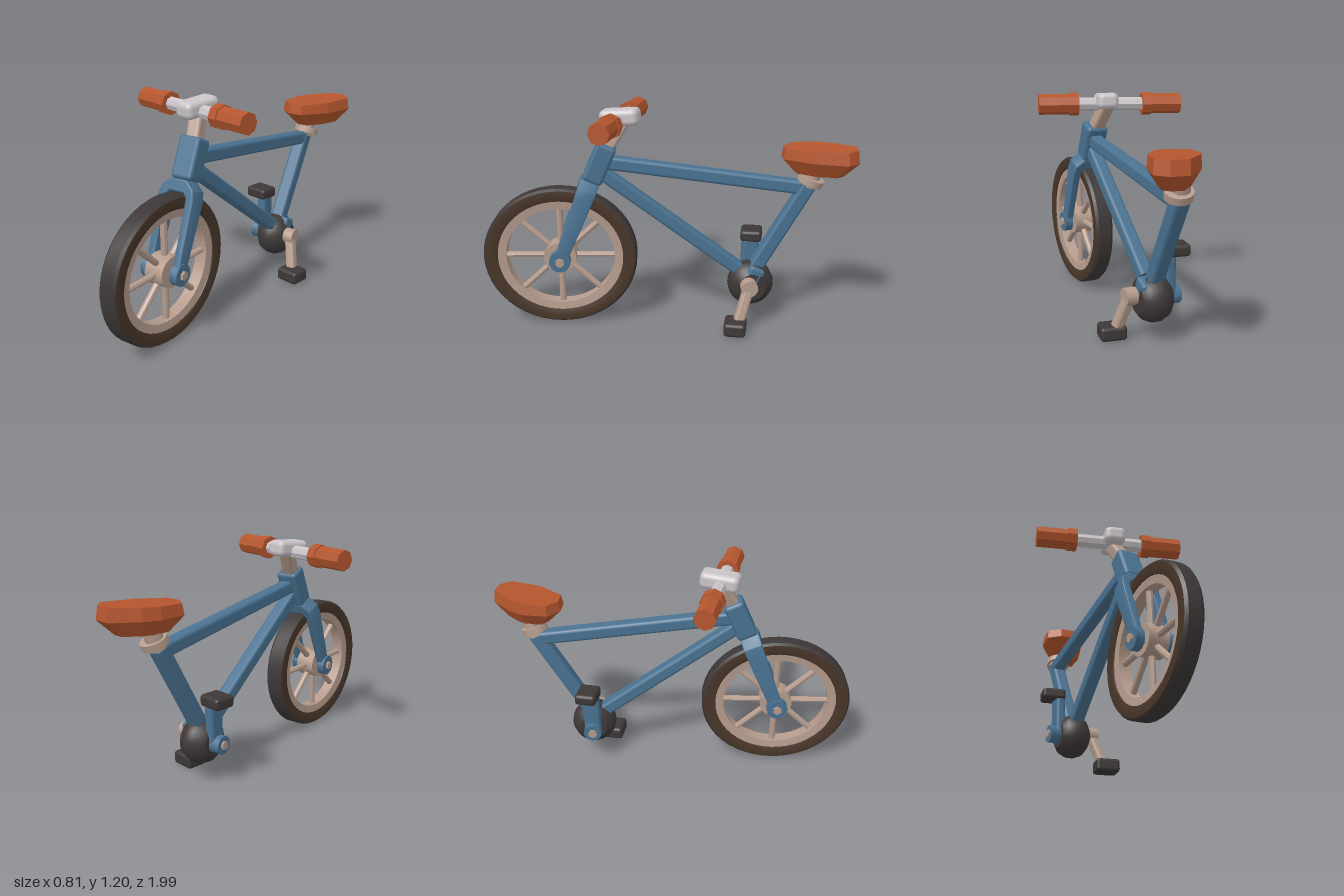
import * as THREE from 'three';
import { toCreasedNormals } from 'three/addons/utils/BufferGeometryUtils.js';
import { RoundedBoxGeometry } from 'three/addons/geometries/RoundedBoxGeometry.js';
import { ConvexGeometry } from 'three/addons/geometries/ConvexGeometry.js';

const V = (x, y, z) => new THREE.Vector3(x, y, z);

function material(name, color) {
  const m = new THREE.MeshStandardMaterial({ color });
  m.name = name;
  return m;
}

export function createModel() {
  const blue = material('frame blue', 0x4a7291);
  const orange = material('saddle orange', 0xb5562e);
  const tan = material('warm metal', 0xb59c8d);
  const silver = material('pale metal', 0xcac4c8);
  const charcoal = material('charcoal', 0x3d3837);
  const brown = material('tyre brown', 0x483629);

  const model = new THREE.Group();
  model.name = 'bicycle';

  const add = (name, geometry, mat, parent = model) => {
    const mesh = new THREE.Mesh(geometry, mat);
    mesh.name = name;
    parent.add(mesh);
    return mesh;
  };

  // Aim a mesh's y axis from a to b, keeping its x axis level where possible
  const aim = (mesh, a, b) => {
    const y = b.clone().sub(a).normalize();
    const side = Math.abs(y.x) > 0.8 ? V(0, 0, 1) : V(1, 0, 0);
    const x = side.addScaledVector(y, -side.dot(y)).normalize();
    mesh.quaternion.setFromRotationMatrix(new THREE.Matrix4().makeBasis(x, y, x.clone().cross(y)));
    mesh.position.copy(a).add(b).multiplyScalar(0.5);
    return mesh;
  };
  const beam = (name, a, b, w, d, mat, r = 0.018) =>
    aim(add(name, new RoundedBoxGeometry(w, a.distanceTo(b), d, 2, r), mat), a, b);
  const rod = (name, a, b, r, mat, sides = 16, parent = model) =>
    aim(add(name, toCreasedNormals(new THREE.CylinderGeometry(r, r, a.distanceTo(b), sides), 0.6), mat, parent), a, b);
  const lathe = (name, points, mat, parent) => {
    const g = new THREE.LatheGeometry(points.map(([r, y]) => new THREE.Vector2(r, y)), 48);
    g.rotateZ(-Math.PI / 2);
    return add(name, toCreasedNormals(g, 0.6), mat, parent);
  };

  // Front wheel, slightly turned and slightly flattened
  const wheel = new THREE.Group();
  wheel.name = 'frontWheel';
  wheel.position.set(0.054, 0.395, 0.578);
  wheel.scale.y = 0.92;
  wheel.rotation.y = -0.04;
  model.add(wheel);
  lathe('tyreTread', [[0.408, -0.05], [0.42, -0.035], [0.42, 0.035], [0.408, 0.05]], charcoal, wheel);
  lathe('tyreWallLeft', [[0.408, 0.05], [0.375, 0.053], [0.345, 0.045], [0.34, 0.03]], brown, wheel);
  lathe('tyreWallRight', [[0.34, -0.03], [0.345, -0.045], [0.375, -0.053], [0.408, -0.05]], brown, wheel);
  lathe('rim', [[0.297, -0.034], [0.35, -0.04], [0.35, 0.04], [0.297, 0.034], [0.297, -0.034]], tan, wheel);
  for (let i = 0; i < 8; i++) {
    const a = i * Math.PI / 4;
    const c = Math.cos(a), s = Math.sin(a);
    rod('spoke', V(0, 0.04 * c, 0.04 * s), V(0, 0.31 * c, 0.31 * s), 0.018, tan, 8, wheel);
  }
  rod('hub', V(-0.055, 0, 0), V(0.055, 0, 0), 0.09, tan, 20, wheel);

  // Fork: one arch with legs that narrow toward the axle
  const half = [[0.045, 0.455], [0.09, 0.415], [0.1, 0.37], [0.095, 0.05], [0.1, -0.035],
    [0.07, -0.035], [0.068, 0.05], [0.068, 0.375], [0.045, 0.405]];
  const outline = [...half, ...half.map(([x, y]) => [-x, y]).reverse()];
  const forkGeo = new THREE.ExtrudeGeometry(
    new THREE.Shape(outline.map(([x, y]) => new THREE.Vector2(x, y))),
    { depth: 0.08, bevelThickness: 0.01, bevelSize: 0.007, bevelSegments: 2 });
  forkGeo.translate(0, 0, -0.04);
  const fp = forkGeo.attributes.position;
  for (let i = 0; i < fp.count; i++) {
    fp.setZ(i, fp.getZ(i) * THREE.MathUtils.clamp(0.7 + fp.getY(i) * 0.8, 0.65, 1.05));
  }
  const fork = add('fork', toCreasedNormals(forkGeo, 0.5), blue);
  fork.position.set(0.058, 0.39, 0.578);
  fork.rotation.x = -0.38;
  for (const s of [-1, 1]) {
    const at = d => V(0.056 + s * d, 0.39, 0.578);
    rod('dropout', at(0.068), at(0.112), 0.058, blue, 16);
    rod('axleNut', at(0.1), at(0.125), 0.025, tan, 6);
  }

  // Frame tubes
  beam('headTube', V(0.06, 0.815, 0.4), V(0.06, 1.015, 0.31), 0.125, 0.11, blue, 0.02);
  beam('topTube', V(0.065, 0.92, 0.32), V(0.112, 0.775, -0.77), 0.075, 0.075, blue);
  beam('downTube', V(0.065, 0.865, 0.345), V(0.1, 0.29, -0.43), 0.075, 0.075, blue);
  beam('seatTube', V(0.1, 0.24, -0.445), V(0.114, 0.805, -0.765), 0.08, 0.08, blue);
  beam('bracketLug', V(0.115, 0.25, -0.46), V(0.115, 0.335, -0.5), 0.14, 0.09, blue);
  rod('bottomBracket', V(-0.045, 0.23, -0.47), V(0.17, 0.23, -0.47), 0.05, blue);

  // Rounded drive drum
  const drum = lathe('driveDrum', [[0, -0.085], [0.075, -0.085], [0.108, -0.06], [0.125, -0.02],
    [0.125, 0.02], [0.108, 0.06], [0.075, 0.085], [0, 0.085]], charcoal);
  drum.position.set(0.1, 0.23, -0.468);

  // Cranks and pedals
  rod('crankBoss', V(0.165, 0.245, -0.445), V(0.245, 0.245, -0.445), 0.046, tan);
  beam('rightCrank', V(0.212, 0.25, -0.445), V(0.262, 0.06, -0.385), 0.055, 0.06, tan);
  beam('leftCrank', V(0.015, 0.22, -0.47), V(0.015, 0.46, -0.475), 0.055, 0.095, blue);
  rod('leftCrankCap', V(-0.055, 0.23, -0.47), V(-0.04, 0.23, -0.47), 0.025, tan, 8);
  for (const [x, y, z, h] of [[0.276, 0.043, -0.366, 0.075], [-0.017, 0.474, -0.485, 0.063]]) {
    const pedal = add('pedal', new RoundedBoxGeometry(0.138, h, 0.118, 2, 0.018), charcoal);
    pedal.position.set(x, y, z);
    pedal.rotation.y = -0.2;
  }

  // Saddle: three stacked outlines joined into a faceted shell
  const seat = [[0.015, -0.675], [0.035, -0.81], [0.085, -0.885], [0.2, -0.99], [0.29, -0.975],
    [0.336, -0.91], [0.28, -0.74], [0.17, -0.605], [0.085, -0.612]];
  const layers = [[1.01, 0.95], [0.95, 1], [0.872, 0.62]];
  const seatPoints = layers.flatMap(([y, s]) => seat.map(([x, z]) =>
    V(0.17 + (x - 0.17) * s, y + (y > 0.96 ? (-0.75 - z) * 0.04 : 0), -0.8 + (z + 0.8) * s)));
  add('saddle', new ConvexGeometry(seatPoints), orange);
  rod('seatPost', V(0.114, 0.79, -0.76), V(0.13, 0.9, -0.79), 0.046, tan);
  rod('seatClamp', V(0.125, 0.805, -0.762), V(0.13, 0.84, -0.775), 0.07, tan);

  // Stem and handlebar, turned to one side
  beam('stemNeck', V(0.06, 0.98, 0.325), V(0.02, 1.15, 0.215), 0.075, 0.075, tan);
  const clamp = add('stemClamp', new RoundedBoxGeometry(0.115, 0.09, 0.21, 3, 0.03), silver);
  clamp.position.set(0.025, 1.152, 0.24);
  clamp.rotation.set(0.08, -0.26, 0, 'YXZ');
  const bar = x => V(x, 1.135 + x * 0.008, 0.24 + x * 0.265);
  rod('handlebar', bar(-0.3), bar(0.3), 0.037, silver, 8);
  for (const s of [-1, 1]) {
    rod('gripCollar', bar(s * 0.175), bar(s * 0.225), 0.064, orange, 8);
    rod('grip', bar(s * 0.21), bar(s * 0.388), 0.057, orange, 8);
  }

  return model;
}
